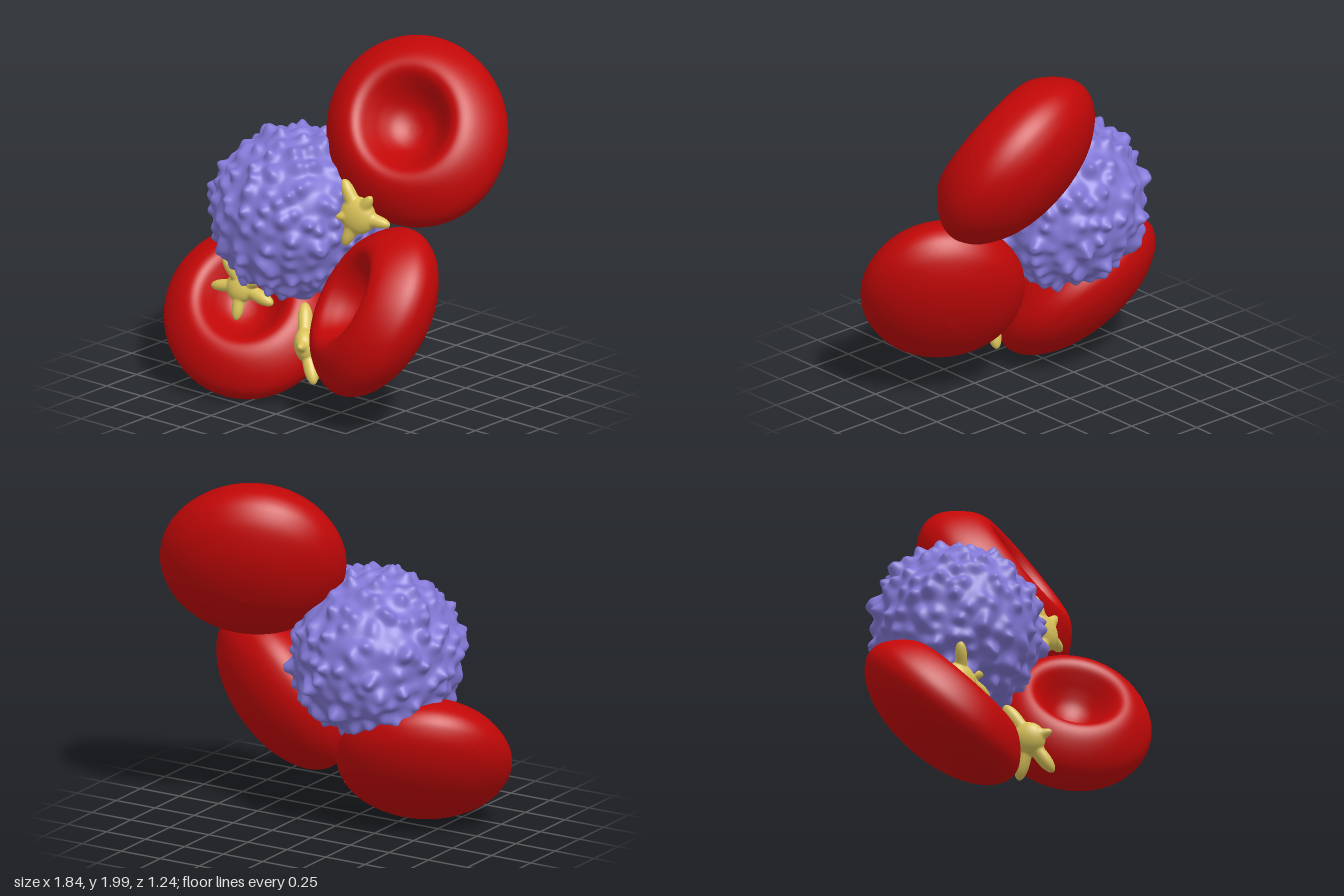
import * as THREE from 'three';
import { mergeVertices } from 'three/addons/utils/BufferGeometryUtils.js';

const V = (x, y, z) => new THREE.Vector3(x, y, z);

function material(name, color) {
  const m = new THREE.MeshStandardMaterial({ color });
  m.name = name;
  return m;
}

// Smooth ball whose radius depends on direction
function radialBlob(detail, radiusAt) {
  const raw = new THREE.IcosahedronGeometry(1, detail);
  raw.deleteAttribute('uv');
  raw.deleteAttribute('normal');
  const geo = mergeVertices(raw, 1e-5);
  const pos = geo.attributes.position;
  const d = V(0, 0, 0);
  for (let i = 0; i < pos.count; i++) {
    d.fromBufferAttribute(pos, i).normalize();
    d.multiplyScalar(radiusAt(d));
    pos.setXYZ(i, d.x, d.y, d.z);
  }
  geo.computeVertexNormals();
  return geo;
}

// Disc with a full rounded back and a soft dimple in the front, facing +y;
// radius and half thickness are both about one unit
function redCellGeometry() {
  const profile = [
    [0, -1.06], [0.3, -1.01], [0.6, -0.85], [0.85, -0.56], [0.97, -0.26], [1, -0.01],
    [0.97, 0.23], [0.87, 0.5], [0.74, 0.72], [0.62, 0.81], [0.52, 0.76],
    [0.43, 0.58], [0.34, 0.37], [0.23, 0.18], [0.1, 0.08], [0, 0.06],
  ].map(([x, y]) => new THREE.Vector2(x, y));
  const points = new THREE.SplineCurve(profile).getPoints(64);
  points.forEach((p) => { p.x = Math.max(0, p.x); });
  points[0].x = points[points.length - 1].x = 0;
  return new THREE.LatheGeometry(points, 72);
}

// Ball covered in evenly scattered, slightly uneven knobs
function whiteCellGeometry() {
  let seed = 7;
  const rand = () => (seed = (seed * 16807) % 2147483647) / 2147483647;
  const count = 280;
  const knobs = [];
  for (let i = 0; i < count; i++) {
    const y = 1 - (2 * (i + 0.5)) / count;
    const a = i * 2.39996;
    const r = Math.sqrt(1 - y * y);
    const dir = V(r * Math.cos(a), y, r * Math.sin(a));
    dir.add(V(rand() - 0.5, rand() - 0.5, rand() - 0.5).multiplyScalar(0.2)).normalize();
    knobs.push({ dir, height: 0.015 + 0.042 * rand(), sharp: 220 + 260 * rand() });
  }
  return radialBlob(48, (d) => {
    let r = 0.45;
    r += 0.006 * Math.sin(9 * d.x + 4 * d.y) * Math.sin(8 * d.y - 5 * d.z);
    r += 0.006 * Math.sin(17 * d.z + 6 * d.x) * Math.sin(15 * d.x - 9 * d.y);
    for (const k of knobs) {
      const t = k.dir.dot(d) - 1;
      if (t > -0.05) r += k.height * Math.exp(t * k.sharp);
    }
    return Math.min(r, 0.515);
  });
}

// Flattened body blended smoothly into blunt arms that end at the given tips
function plateletGeometry(center, body, flatDir, flatness, tips) {
  const n = flatDir.clone().normalize();
  const arms = tips.map((t) => {
    const dir = V(...t).sub(center);
    const length = dir.length();
    return { dir: dir.normalize(), length };
  });
  return radialBlob(24, (d) => {
    const c = n.dot(d);
    let sum = (body / Math.sqrt(1 + flatness * c * c)) ** 5;
    for (const a of arms) {
      sum += (a.length * Math.exp((a.dir.dot(d) - 1) * 13)) ** 5;
    }
    return sum ** 0.2;
  });
}

export function createModel() {
  const group = new THREE.Group();
  group.name = 'bloodCells';
  const red = material('red', 0xc20707);
  const violet = material('violet', 0x8278d6);
  const yellow = material('yellow', 0xdac35a);

  const add = (name, geo, mat, position) => {
    const mesh = new THREE.Mesh(geo, mat);
    mesh.name = name;
    mesh.position.copy(position);
    group.add(mesh);
    return mesh;
  };

  // Red cells, slightly oval: centre, direction the dimple faces,
  // turn of the long axis in degrees, [long radius, half thickness, short radius]
  const disc = redCellGeometry();
  [
    ['upperRedCell', V(0.382, 1.524, -0.232), V(0.293, 0.545, 0.786), -55.5, [0.545, 0.293, 0.502]],
    ['lowerLeftRedCell', V(0.487, 0.633, 0.246), V(-0.469, 0.472, 0.746), 76.5, [0.501, 0.256, 0.449]],
    ['lowerRightRedCell', V(-0.445, 0.407, 0.197), V(0.309, 0.718, 0.625), -71.5, [0.518, 0.253, 0.476]],
  ].forEach(([name, center, facing, turn, size]) => {
    const n = facing.normalize();
    const long = V(0, 1, 0).cross(n).normalize().applyAxisAngle(n, THREE.MathUtils.degToRad(turn));
    const short = long.clone().cross(n);
    const cell = add(name, disc, red, center);
    cell.quaternion.setFromRotationMatrix(new THREE.Matrix4().makeBasis(long, n, short));
    cell.scale.set(...size);
  });

  // White cell
  add('whiteCell', whiteCellGeometry(), violet, V(-0.218, 1.006, 0.076));

  // Platelets: centre, body radius, flat direction, flatness, arm tips
  [
    ['upperPlatelet', V(0.33, 1.14, 0.2), 0.105, V(0.2, 0.1, 1), 2, [
      [0.235, 1.33, 0.21], [0.425, 1.265, 0.2], [0.515, 1.11, 0.15],
      [0.265, 0.965, 0.24], [0.24, 1.13, 0.27]]],
    ['rightPlatelet', V(-0.41, 0.595, 0.31), 0.09, V(0.1, 0.4, 0.9), 1.5, [
      [-0.485, 0.765, 0.37], [-0.6, 0.565, 0.34], [-0.4, 0.415, 0.37],
      [-0.195, 0.535, 0.3], [-0.26, 0.66, 0.32]]],
    ['lowerPlatelet', V(0.075, 0.37, 0.335), 0.095, V(0.85, 0.2, -0.5), 1.2, [
      [-0.015, 0.57, 0.24], [0.02, 0.5, 0.3], [0.195, 0.19, 0.41], [0.085, 0.155, 0.25],
      [0.13, 0.4, 0.455]]],
  ].forEach(([name, center, body, flatDir, flatness, tips]) => {
    add(name, plateletGeometry(center, body, flatDir, flatness, tips), yellow, center);
  });

  return group;
}
